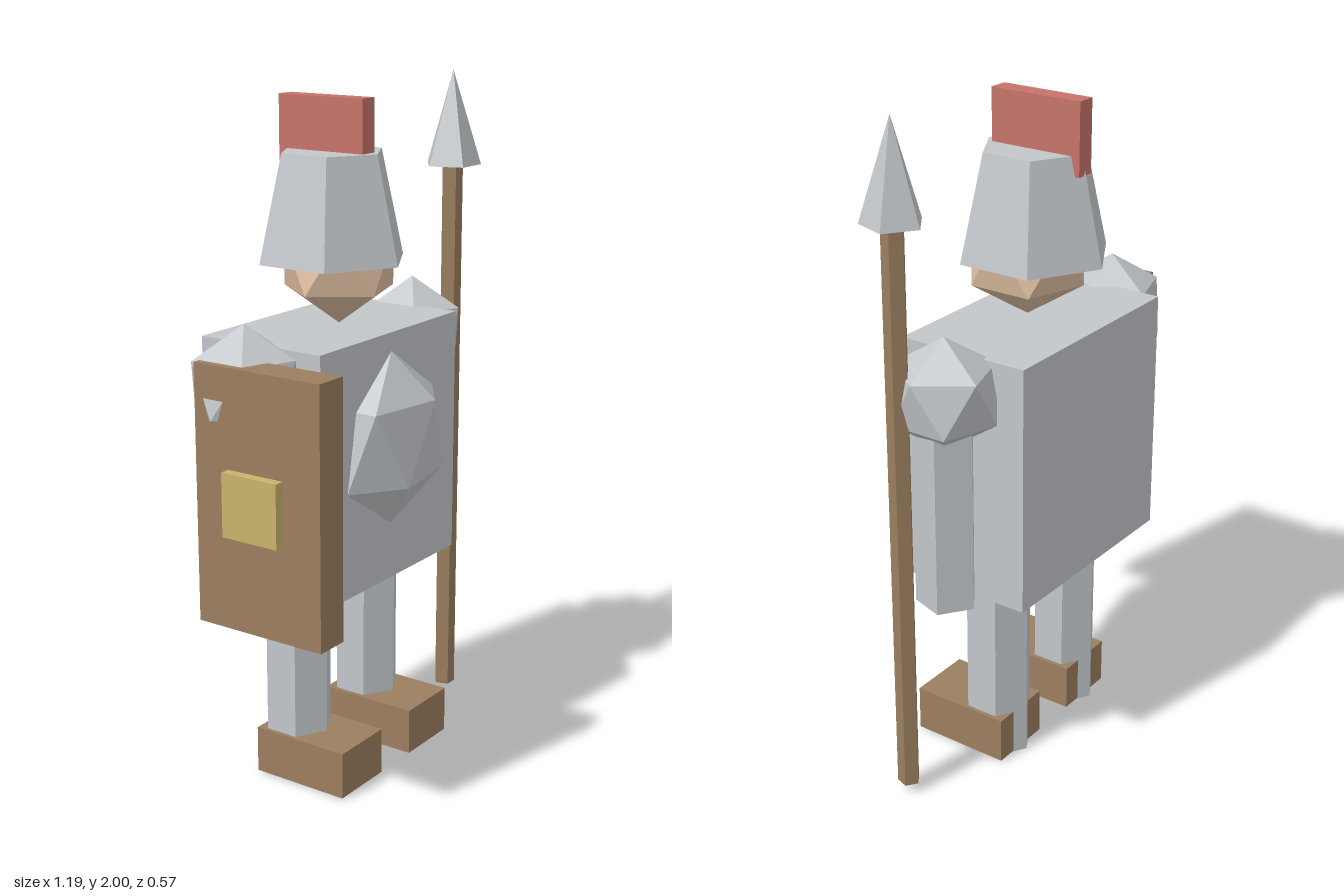
import * as THREE from 'three';

export function createModel() {
  const model = new THREE.Group();
  const mat = (name, color) => {
    const m = new THREE.MeshStandardMaterial({ color, flatShading: true });
    m.name = name;
    return m;
  };
  const steel = mat('steel', 0xc2c6ca);
  const wood = mat('brown wood', 0x9b7e5f);
  const red = mat('crest red', 0xc6746a);
  const gold = mat('gold', 0xc9b36b);
  const skin = mat('skin', 0xdebea0);

  const add = (name, geometry, material, x, y, z) => {
    const mesh = new THREE.Mesh(geometry, material);
    mesh.name = name;
    mesh.position.set(x, y, z);
    model.add(mesh);
    return mesh;
  };
  // Box given by its minimum and maximum corners
  const box = (name, material, a, b) => add(name,
    new THREE.BoxGeometry(b[0] - a[0], b[1] - a[1], b[2] - a[2]), material,
    (a[0] + b[0]) / 2, (a[1] + b[1]) / 2, (a[2] + b[2]) / 2);
  // Upright prism, cone or frustum between two heights
  const prism = (name, material, sides, rTop, rBottom, y0, y1, x, z, turn = 0) => add(name,
    new THREE.CylinderGeometry(rTop, rBottom, y1 - y0, sides).rotateY(turn), material,
    x, (y0 + y1) / 2, z);
  // Icosahedron standing on one vertex
  const tilt = -Math.atan(2 / (1 + Math.sqrt(5)));
  const gem = (name, material, rx, ry, rz, x, y, z) => add(name,
    new THREE.IcosahedronGeometry(1).rotateZ(tilt).scale(rx, ry, rz), material, x, y, z);

  const midX = -0.0225, midZ = -0.0625;

  // Torso with chest boss
  box('torso', steel, [-0.36, 0.59, -0.265], [0.315, 1.32, 0.14]);
  gem('chestBoss', steel, 0.238, 0.254, 0.124, midX, 1.012, 0.14);

  // Head, helmet and crest
  gem('head', skin, 0.182, 0.182, 0.182, midX, 1.507, -0.04);
  prism('helmet', steel, 6, 0.153, 0.2225, 1.505, 1.81, midX, midZ);
  box('crest', red, [-0.051, 1.755, -0.225], [0.006, 1.96, 0.06]);

  // Arms and shoulder guards
  for (const [side, x] of [['left', 0.39], ['right', -0.427]]) {
    gem(side + 'Shoulder', steel, 0.163, 0.163, 0.163, x, 1.229, midZ);
    prism(side + 'Arm', steel, 5, 0.09, 0.09, 0.6, 1.2, x, midZ, Math.PI);
  }

  // Legs reach the ground behind the feet
  for (const [side, x] of [['left', 0.15], ['right', -0.1975]]) {
    prism(side + 'Leg', steel, 6, 0.101, 0.101, 0, 0.62, x, midZ);
    box(side + 'Foot', wood, [x - 0.1, 0.003, -0.142], [x + 0.1, 0.142, 0.164]);
  }

  // Spear
  prism('spearShaft', wood, 5, 0.033, 0.033, 0.03, 1.72, 0.508, 0, Math.PI);
  prism('spearHead', steel, 5, 0, 0.0875, 1.72, 2, 0.508, 0, Math.PI);

  // Shield with emblem plate
  box('shield', wood, [-0.562, 0.577, -0.125], [-0.461, 1.307, 0.285]);
  box('shieldPlate', gold, [-0.598, 0.852, -0.01], [-0.568, 1.032, 0.17]);

  return model;
}
